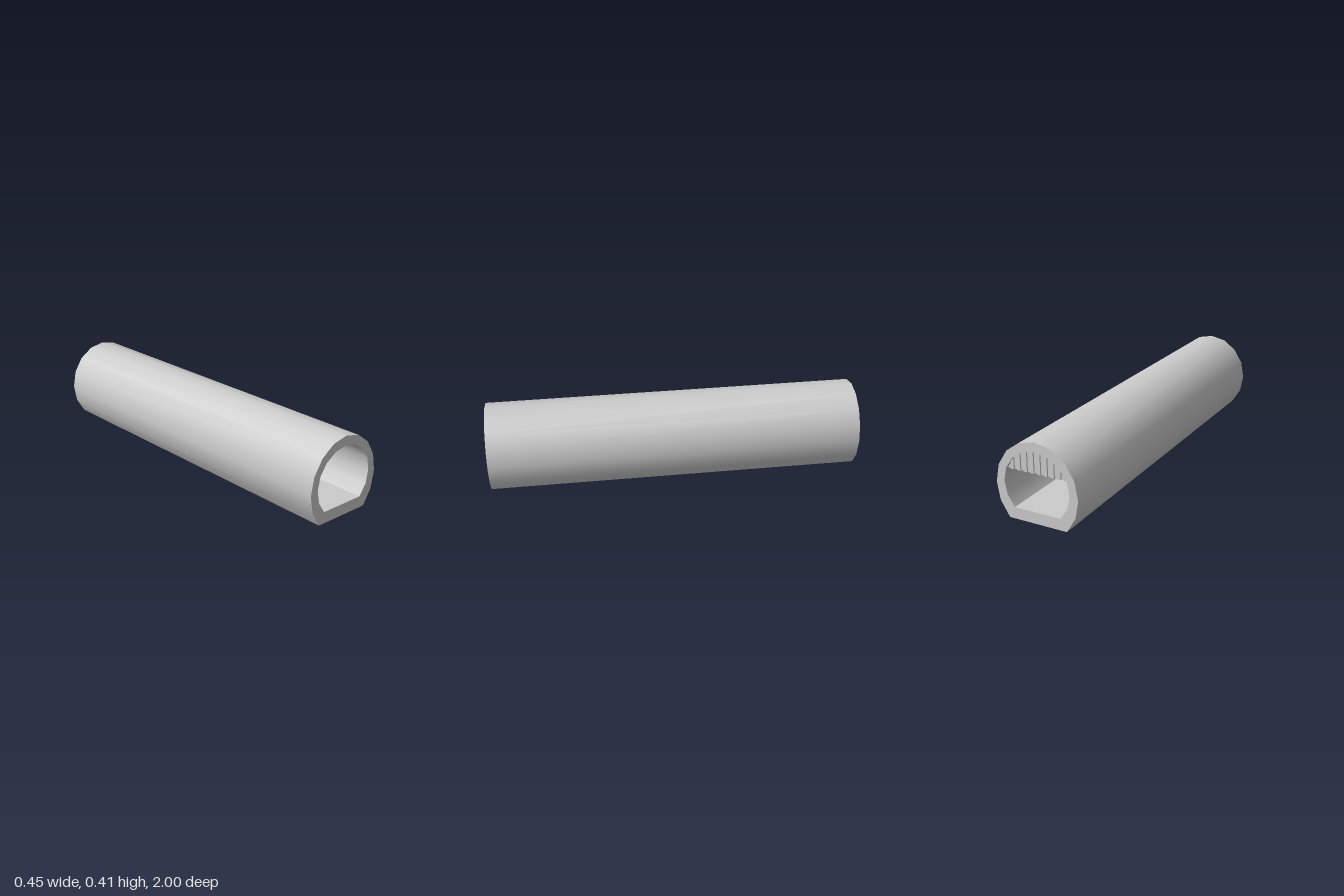
import * as THREE from 'three';
import { toCreasedNormals } from 'three/addons/utils/BufferGeometryUtils.js';

// Sixteen-sided oval, cut off flat below its lower diagonal corners;
// returns the corners clockwise from the lower left
function flatOval(radiusX, bottom, top) {
  const radiusY = (top - bottom) / (1 + Math.SQRT1_2);
  const points = [];
  for (let i = -6; i <= 6; i++) {
    const a = i * Math.PI / 8;
    points.push(new THREE.Vector2(radiusX * Math.sin(a), top - radiusY * (1 - Math.cos(a))));
  }
  return points;
}

// Height of the upper half of an outline at a given x
function ceilingAt(outline, x) {
  const upper = outline.slice(2, 11);
  const i = Math.min(upper.findIndex((p) => p.x >= x - 1e-6), upper.length - 1);
  const a = upper[Math.max(i - 1, 0)], b = upper[Math.max(i, 1)];
  return a.y + (b.y - a.y) * (x - a.x) / (b.x - a.x);
}

export function createModel() {
  const model = new THREE.Group();
  const material = new THREE.MeshStandardMaterial({ color: 0xcccccc });
  const inner = flatOval(0.179, 0.06, 0.364);

  // Hollow tunnel with a flat floor; the hole runs against the outline
  const shape = new THREE.Shape(flatOval(0.224, 0, 0.413).reverse());
  shape.holes.push(new THREE.Path(inner));
  const shell = new THREE.ExtrudeGeometry(shape, { depth: 2, bevelEnabled: false });
  shell.translate(0, 0, -1);
  const tunnel = new THREE.Mesh(toCreasedNormals(shell, THREE.MathUtils.degToRad(40)), material);
  tunnel.name = 'tunnelShell';
  model.add(tunnel);

  // Curtain of flat strips, set alternately forward and back, at the back opening
  const curtain = new THREE.Group();
  curtain.name = 'stripCurtain';
  const strips = 18, bottom = 0.25, halfWidth = inner[11 - 1 - 1 + 0].x, width = 2 * halfWidth / strips;
  for (let i = 0; i < strips; i++) {
    const x0 = -halfWidth + i * width, x1 = x0 + width;
    const outline = new THREE.Shape([
      new THREE.Vector2(x0, bottom), new THREE.Vector2(x1, bottom),
      new THREE.Vector2(x1, ceilingAt(inner, x1)), new THREE.Vector2(x0, ceilingAt(inner, x0)),
    ]);
    const strip = new THREE.Mesh(new THREE.ExtrudeGeometry(outline, { depth: 0.01, bevelEnabled: false }), material);
    strip.name = 'curtainStrip';
    strip.position.z = i % 2 ? -0.982 : -0.99;
    curtain.add(strip);
  }
  model.add(curtain);

  return model;
}
